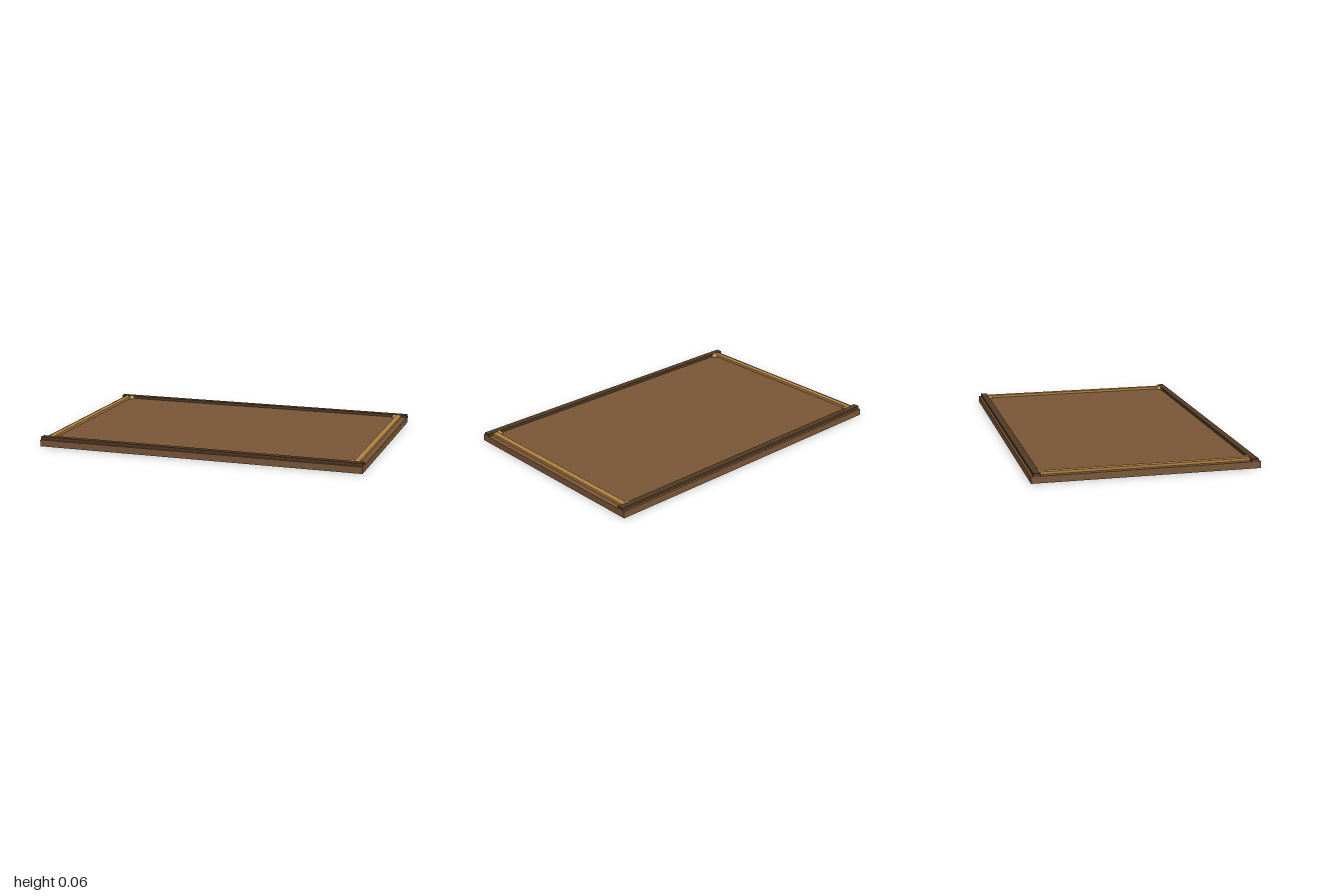
import * as THREE from 'three';

const material = (name, color) => {
  const m = new THREE.MeshStandardMaterial({ color });
  m.name = name;
  return m;
};

export function createModel() {
  const group = new THREE.Group();
  const wood = material('brown wood', 0x785536);
  const darkWood = material('dark wood', 0x503a24);
  const brass = material('brass', 0xb08040);

  const add = (name, geometry, mat, x, y, z) => {
    const mesh = new THREE.Mesh(geometry, mat);
    mesh.name = name;
    mesh.position.set(x, y, z);
    group.add(mesh);
  };

  // Flat base panel
  add('panel', new THREE.BoxGeometry(2, 0.04, 1.333), wood, 0, 0.02, 0);

  const railGeometry = new THREE.BoxGeometry(2, 0.017, 0.04);
  const stripGeometry = new THREE.BoxGeometry(0.033, 0.015, 1.226);
  const studGeometry = new THREE.SphereGeometry(0.02, 10, 8);

  for (const s of [-1, 1]) {
    // Dark rails along the long edges
    add(s > 0 ? 'frontRail' : 'backRail', railGeometry, darkWood, 0, 0.0485, s * 0.633);
    // Brass strips along the short edges
    add(s > 0 ? 'leftStrip' : 'rightStrip', stripGeometry, brass, s * 0.952, 0.0475, 0);
    // Round studs in the inner corners
    for (const t of [-1, 1]) {
      add('cornerStud', studGeometry, brass, s * 0.925, 0.041, t * 0.604);
    }
  }
  return group;
}
